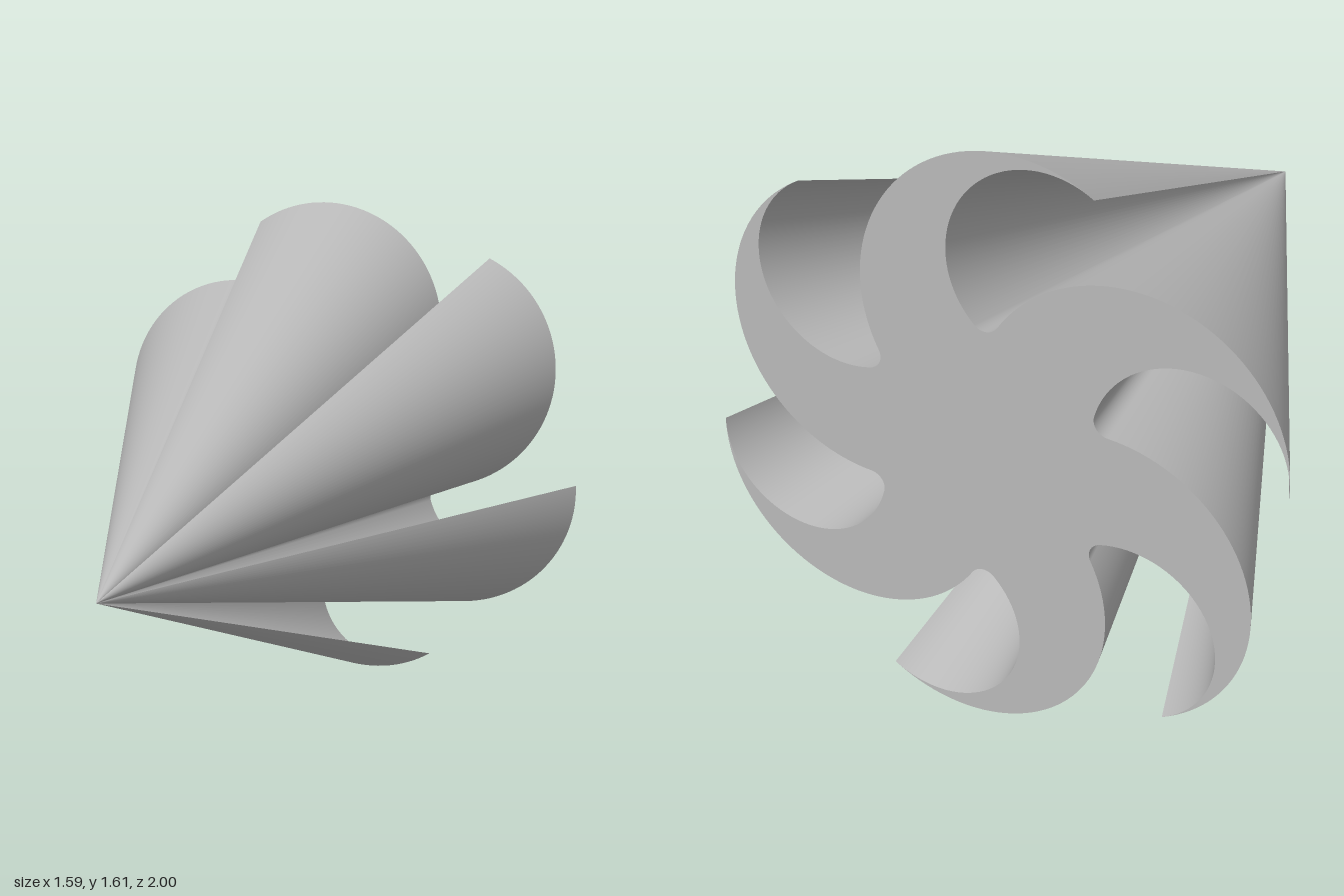
import * as THREE from 'three';

const BLADES = 6;
const CENTRE_Y = 0.807;
const TIP_ANGLE = THREE.MathUtils.degToRad(53.2);
const SWEEP = THREE.MathUtils.degToRad(11.2); // blade circle trails its tip by this angle
const R_OUT = 0.408, D_OUT = 0.406, R_IN = 0.25, R_FILLET = 0.04;

const polar = (r, a) => new THREE.Vector2(r * Math.cos(a), r * Math.sin(a));
const angleOf = (from, to) => Math.atan2(to.y - from.y, to.x - from.x);

// Points of an arc, each with its outward normal (side = -1 for hollow arcs)
function arc(c, r, a0, a1, n, side) {
  const out = [];
  for (let i = 0; i <= n; i++) {
    const a = a0 + ((a1 - a0) * i) / n;
    out.push({ p: polar(r, a).add(c), n: polar(side, a) });
  }
  return out;
}

// One sixth of the profile: hollow inner arc, rounded gullet, next blade's outer arc
function bladeProfile() {
  const step = (2 * Math.PI) / BLADES;
  const outer = polar(D_OUT, -SWEEP);
  const tip = new THREE.Vector2(
    D_OUT * Math.cos(SWEEP) + Math.sqrt(R_OUT ** 2 - (D_OUT * Math.sin(SWEEP)) ** 2), 0);
  const inner = tip.clone().lerp(outer, R_IN / R_OUT); // tangent at the tip
  const next = polar(D_OUT, step - SWEEP);
  const nextTip = tip.clone().rotateAround(new THREE.Vector2(), step);

  // Gullet centre, where the two offset circles cross nearest the hub
  const ra = R_IN - R_FILLET, rb = R_OUT + R_FILLET;
  const d = inner.distanceTo(next);
  const u = next.clone().sub(inner).divideScalar(d);
  const along = (ra * ra - rb * rb + d * d) / (2 * d);
  const h = Math.sqrt(ra * ra - along * along);
  const mid = inner.clone().addScaledVector(u, along);
  const side = new THREE.Vector2(-u.y, u.x).multiplyScalar(h);
  const c1 = mid.clone().add(side), c2 = mid.clone().sub(side);
  const gullet = c1.length() < c2.length() ? c1 : c2;

  const aTip = angleOf(inner, tip);
  let aJoin = angleOf(inner, gullet);
  while (aJoin > aTip) aJoin -= 2 * Math.PI;
  let aEnd = angleOf(gullet, next);
  while (aEnd > aJoin) aEnd -= 2 * Math.PI;
  const b0 = angleOf(next, gullet);
  let b1 = angleOf(next, nextTip);
  while (b1 < b0) b1 += 2 * Math.PI;

  return [
    ...arc(inner, R_IN, aTip, aJoin, 40, -1),
    ...arc(gullet, R_FILLET, aJoin, aEnd, 10, -1).slice(1),
    ...arc(next, R_OUT, b0, b1, 48, 1).slice(1),
  ];
}

// Flute surface drawn from the profile to the point at the front
function fluteGeometry(profile) {
  const pos = [], nor = [];
  const apexDir = (q) => new THREE.Vector3(q.n.x, q.n.y, q.p.dot(q.n) / 2).normalize();
  for (let i = 0; i < profile.length - 1; i++) {
    const a = profile[i], b = profile[i + 1];
    const na = apexDir(a), nb = apexDir(b);
    const nc = na.clone().add(nb).normalize();
    pos.push(a.p.x, a.p.y, -1, b.p.x, b.p.y, -1, 0, 0, 1);
    nor.push(...na.toArray(), ...nb.toArray(), ...nc.toArray());
  }
  const g = new THREE.BufferGeometry();
  g.setAttribute('position', new THREE.Float32BufferAttribute(pos, 3));
  g.setAttribute('normal', new THREE.Float32BufferAttribute(nor, 3));
  return g;
}

export function createModel() {
  const grey = new THREE.MeshStandardMaterial({ color: 0xb8b8b8 });
  grey.name = 'plain grey';
  const model = new THREE.Group();
  model.name = 'flutedCone';
  const body = new THREE.Group();
  body.name = 'body';
  body.position.y = CENTRE_Y;
  model.add(body);

  const profile = bladeProfile();
  const flute = fluteGeometry(profile);
  const outline = [];

  // Six identical flutes around the axis
  for (let k = 0; k < BLADES; k++) {
    const turn = TIP_ANGLE + (k * 2 * Math.PI) / BLADES;
    const mesh = new THREE.Mesh(flute, grey);
    mesh.name = 'flute' + (k + 1);
    mesh.rotation.z = turn;
    body.add(mesh);
    for (const q of profile.slice(0, -1)) {
      outline.push(q.p.clone().rotateAround(new THREE.Vector2(), turn));
    }
  }

  // Flat back: mirrored in x, then turned to face -z
  const shape = new THREE.Shape(outline.map((p) => new THREE.Vector2(-p.x, p.y)).reverse());
  const back = new THREE.Mesh(new THREE.ShapeGeometry(shape), grey);
  back.name = 'backFace';
  back.rotation.y = Math.PI;
  back.position.z = -1;
  body.add(back);
  return model;
}
